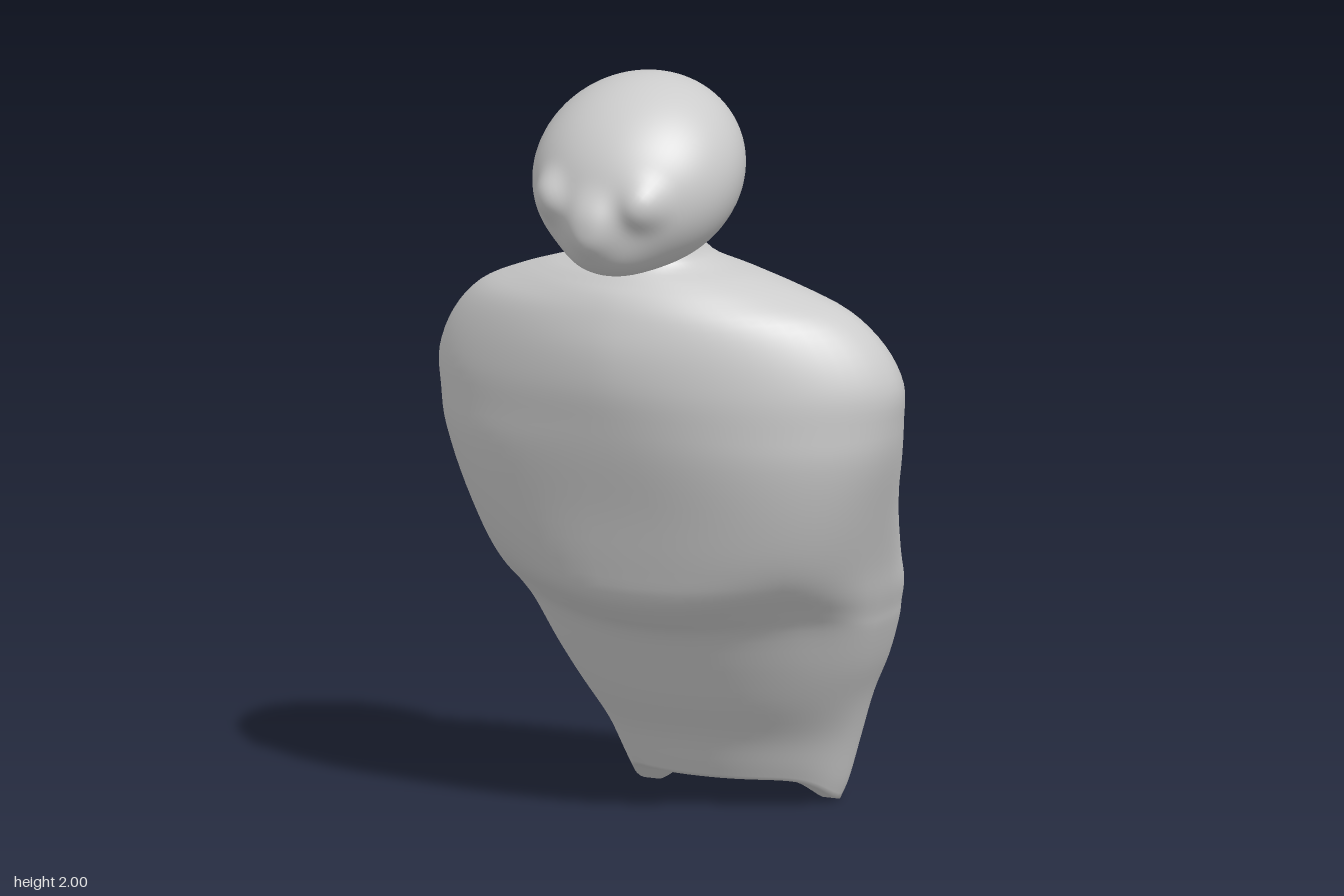
import * as THREE from 'three';

const material = new THREE.MeshStandardMaterial({ color: 0xcccccc, roughness: 0.8 });

// Body sections, bottom to top: y, half width, front z, back z, z of widest point, front and back squareness
const SECTIONS = [
  [0.08, 0.285, -0.12, -0.43, -0.34, 2.2, 2.8],
  [0.12, 0.31, -0.10, -0.45, -0.34, 2.2, 2.9],
  [0.20, 0.345, -0.06, -0.475, -0.32, 2.2, 3.0],
  [0.30, 0.39, 0.01, -0.495, -0.27, 2.2, 3.1],
  [0.40, 0.44, 0.07, -0.51, -0.23, 2.2, 3.2],
  [0.50, 0.48, 0.13, -0.51, -0.19, 2.3, 3.2],
  [0.55, 0.495, 0.19, -0.51, -0.17, 2.4, 3.1],
  [0.61, 0.515, 0.25, -0.51, -0.15, 2.6, 2.9],
  [0.70, 0.54, 0.28, -0.50, -0.11, 2.8, 2.4],
  [0.85, 0.59, 0.32, -0.455, -0.05, 2.7, 1.95],
  [1.00, 0.64, 0.365, -0.385, 0.00, 2.3, 1.85],
  [1.10, 0.66, 0.39, -0.34, 0.02, 2.0, 1.85],
  [1.20, 0.668, 0.41, -0.29, 0.03, 1.8, 1.9],
  [1.30, 0.625, 0.41, -0.225, 0.04, 1.75, 1.9],
  [1.385, 0.54, 0.39, -0.16, 0.06, 1.8, 1.9],
  [1.44, 0.42, 0.365, -0.115, 0.09, 1.8, 1.9],
  [1.48, 0.30, 0.33, -0.08, 0.12, 1.9, 1.9],
  [1.52, 0.165, 0.30, -0.03, 0.15, 2.0, 2.0],
  [1.62, 0.12, 0.29, 0.08, 0.19, 2.0, 2.0],
];

// Smooth interpolation between sections
function makeSampler() {
  const track = (a, b, c) => new THREE.CatmullRomCurve3(
    SECTIONS.map(s => new THREE.Vector3(s[a], s[b], s[c])), false, 'catmullrom', 0.5);
  const outline = track(0, 1, 2), depth = track(3, 4, 0), power = track(5, 6, 0);
  return t => {
    const o = outline.getPoint(t), d = depth.getPoint(t), p = power.getPoint(t);
    return { y: o.x, half: o.y, front: o.z, back: d.x, mid: d.y, nf: p.x, nb: p.y };
  };
}

function bodyPoint(s, angle, shrink) {
  const c = Math.cos(angle), sn = Math.sin(angle);
  const n = sn >= 0 ? s.nf : s.nb;
  const reach = sn >= 0 ? s.front - s.mid : s.back - s.mid;
  const x = shrink * s.half * Math.sign(c) * Math.abs(c) ** (2 / n);
  const z = s.mid + shrink * reach * Math.abs(sn) ** (2 / n);
  let y = s.y;
  // The fold under the belly curves up on either side of the middle
  if (sn > 0) y += 0.06 * Math.min(1, (x / 0.4) ** 2) * sn * Math.exp(-(((s.y - 0.56) / 0.13) ** 2));
  // Two blunt tips hang from the rear corners
  const d = ((Math.abs(x) - 0.265) / 0.085) ** 2 + ((z + 0.365) / 0.11) ** 2;
  y -= 0.08 * Math.exp(-d) * Math.max(0, 1 - (s.y - 0.08) / 0.25);
  return [x, y, z];
}

function bodyGeometry() {
  const around = 72, capRings = 7, rows = 72, sample = makeSampler();
  const positions = [], index = [];
  const total = capRings + rows;
  for (let i = 0; i <= total; i++) {
    const s = sample(Math.max(0, i - capRings) / rows);
    const shrink = Math.min(1, (i + 0.02) / capRings);
    for (let j = 0; j < around; j++) {
      positions.push(...bodyPoint(s, j / around * Math.PI * 2, shrink));
    }
  }
  for (let i = 0; i < total; i++) {
    for (let j = 0; j < around; j++) {
      const k = (j + 1) % around;
      const a = i * around + j, b = i * around + k;
      index.push(a, a + around, b, b, a + around, b + around);
    }
  }
  const g = new THREE.BufferGeometry();
  g.setAttribute('position', new THREE.Float32BufferAttribute(positions, 3));
  g.setIndex(index);
  g.computeVertexNormals();
  return g;
}

// Soft swellings on the face: centre, push, radius
const BUMPS = [
  { at: [0.135, 1.71, 0.43], push: [0.005, 0, 0.035], radius: 0.06 }, // left eye
  { at: [-0.135, 1.71, 0.43], push: [-0.005, 0, 0.035], radius: 0.06 }, // right eye
  { at: [0, 1.655, 0.46], push: [0, -0.005, 0.035], radius: 0.075 }, // nose
  { at: [0, 1.55, 0.38], push: [0, -0.012, 0.04], radius: 0.12 }, // chin
];

// Egg-shaped head, leaning down towards the front
function headGeometry() {
  const g = new THREE.SphereGeometry(1, 80, 60);
  g.rotateX(-Math.PI / 2); // poles at front and back
  g.scale(0.28, 0.23, 0.289).rotateX(0.61).translate(0, 1.75, 0.21);
  const pos = g.attributes.position, p = new THREE.Vector3(), base = new THREE.Vector3();
  for (let i = 0; i < pos.count; i++) {
    base.fromBufferAttribute(pos, i);
    p.copy(base);
    for (const { at, push, radius } of BUMPS) {
      const d = base.distanceTo(new THREE.Vector3(...at)) / radius;
      p.addScaledVector(new THREE.Vector3(...push), Math.exp(-(d ** 3)));
    }
    pos.setXYZ(i, p.x, p.y, p.z);
  }
  g.computeVertexNormals();
  return g;
}

export function createModel() {
  const model = new THREE.Group();
  model.name = 'figure';
  for (const [name, geometry] of [['body', bodyGeometry()], ['head', headGeometry()]]) {
    const mesh = new THREE.Mesh(geometry, material);
    mesh.name = name;
    model.add(mesh);
  }
  return model;
}
